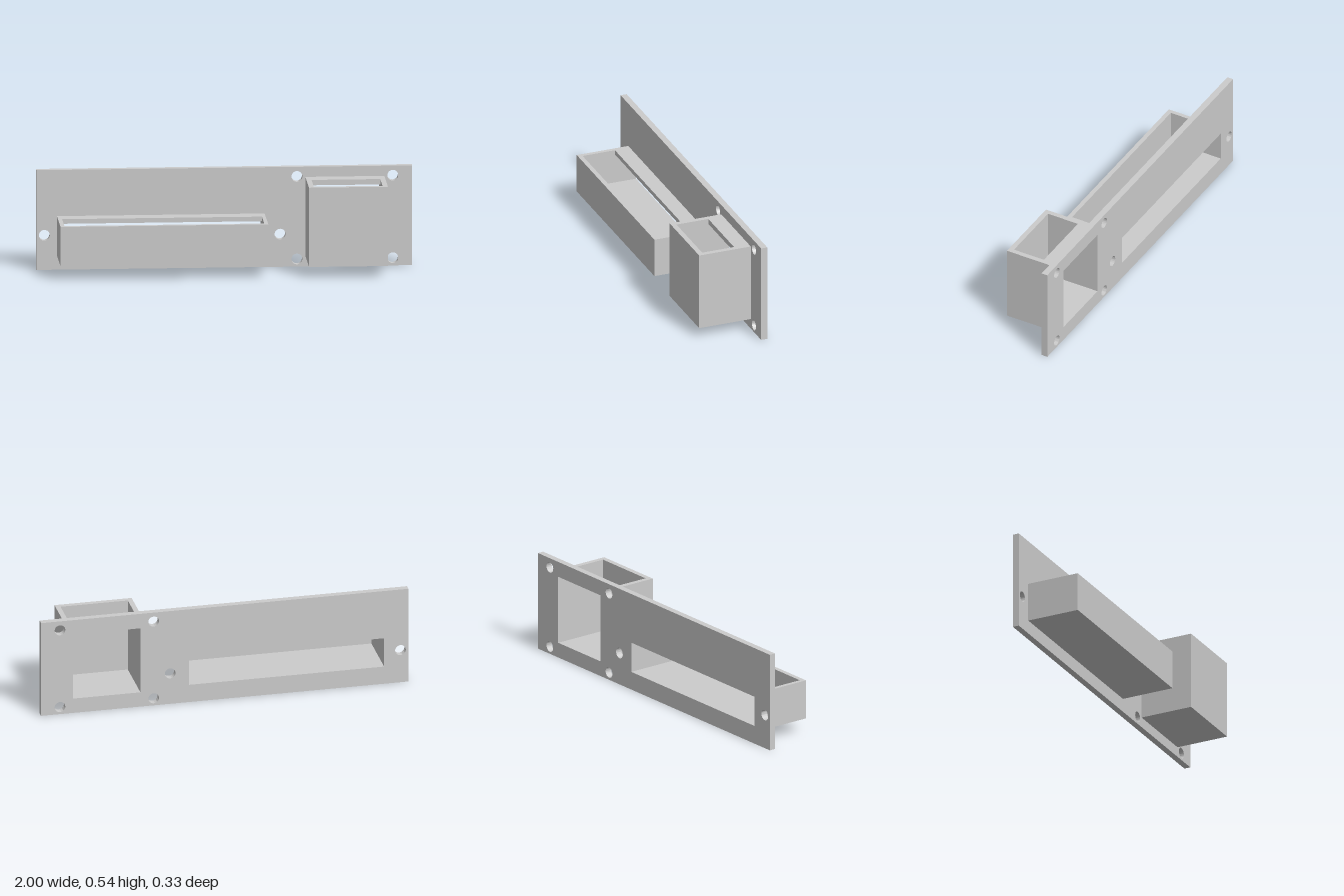
import * as THREE from 'three';
import { toCreasedNormals } from 'three/addons/utils/BufferGeometryUtils.js';

const BACK = -0.165, PLATE_FRONT = -0.13, FRONT = 0.165;

// Outer box (x0..x1, y0..y1), cavity (ix.., iy..), inside of front wall, back edge of top window
const housings = [
  { name: 'wideHousing', x0: -0.89, x1: 0.215, y0: 0.075, y1: 0.29, ix0: -0.868, ix1: 0.195, iy0: 0.1, iy1: 0.265, iz: 0.14, wz: -0.045 },
  { name: 'tallHousing', x0: 0.432, x1: 0.852, y0: 0.056, y1: 0.485, ix0: 0.459, ix1: 0.825, iy0: 0.083, iy1: 0.456, iz: 0.137, wz: -0.045 },
];

const screwHoles = [
  [-0.957, 0.187], [0.297, 0.177],
  [0.387, 0.488], [0.897, 0.488], [0.387, 0.041], [0.897, 0.041],
];

function polygon(points, Type = THREE.Shape) {
  return new Type(points.map(([x, y]) => new THREE.Vector2(x, y)));
}

function rect(x0, y0, x1, y1, Type) {
  return polygon([[x0, y0], [x1, y0], [x1, y1], [x0, y1]], Type);
}

function extrude(shape, depth) {
  return new THREE.ExtrudeGeometry(shape, { depth, bevelEnabled: false, curveSegments: 32 });
}

// Plan shape drawn in (x, -z), raised from y0 to y1
function raise(shape, y0, y1) {
  return extrude(shape, y1 - y0).rotateX(-Math.PI / 2).translate(0, y0, 0);
}

function createHousing(h, material) {
  const group = new THREE.Group();
  group.name = h.name;
  const add = (name, geometry) => {
    const mesh = new THREE.Mesh(geometry, material);
    mesh.name = name;
    group.add(mesh);
  };
  const back = -PLATE_FRONT, front = -FRONT;

  add('floor', raise(rect(h.x0, front, h.x1, back), h.y0, h.iy0));

  // Side and front walls in one U-shaped piece, open toward the plate
  add('walls', raise(polygon([
    [h.x0, back], [h.x0, front], [h.x1, front], [h.x1, back],
    [h.ix1, back], [h.ix1, -h.iz], [h.ix0, -h.iz], [h.ix0, back],
  ]), h.iy0, h.iy1));

  // Top with a rectangular window
  const top = rect(h.x0, front, h.x1, back);
  top.holes.push(rect(h.ix0, -h.iz, h.ix1, -h.wz, THREE.Path));
  add('top', raise(top, h.iy1, h.y1));
  return group;
}

export function createModel() {
  const model = new THREE.Group();
  model.name = 'mountingPanel';
  const material = new THREE.MeshStandardMaterial({ color: 0xcccccc });

  // Back plate with housing openings and screw holes
  const plate = rect(-1, 0, 1, 0.54);
  for (const h of housings) plate.holes.push(rect(h.ix0, h.iy0, h.ix1, h.iy1, THREE.Path));
  for (const [x, y] of screwHoles) {
    plate.holes.push(new THREE.Path().absarc(x, y, 0.029, 0, Math.PI * 2, true));
  }
  const plateGeometry = extrude(plate, PLATE_FRONT - BACK).translate(0, 0, BACK);
  const plateMesh = new THREE.Mesh(toCreasedNormals(plateGeometry, 0.6), material);
  plateMesh.name = 'backPlate';
  model.add(plateMesh);

  for (const h of housings) model.add(createHousing(h, material));
  return model;
}
